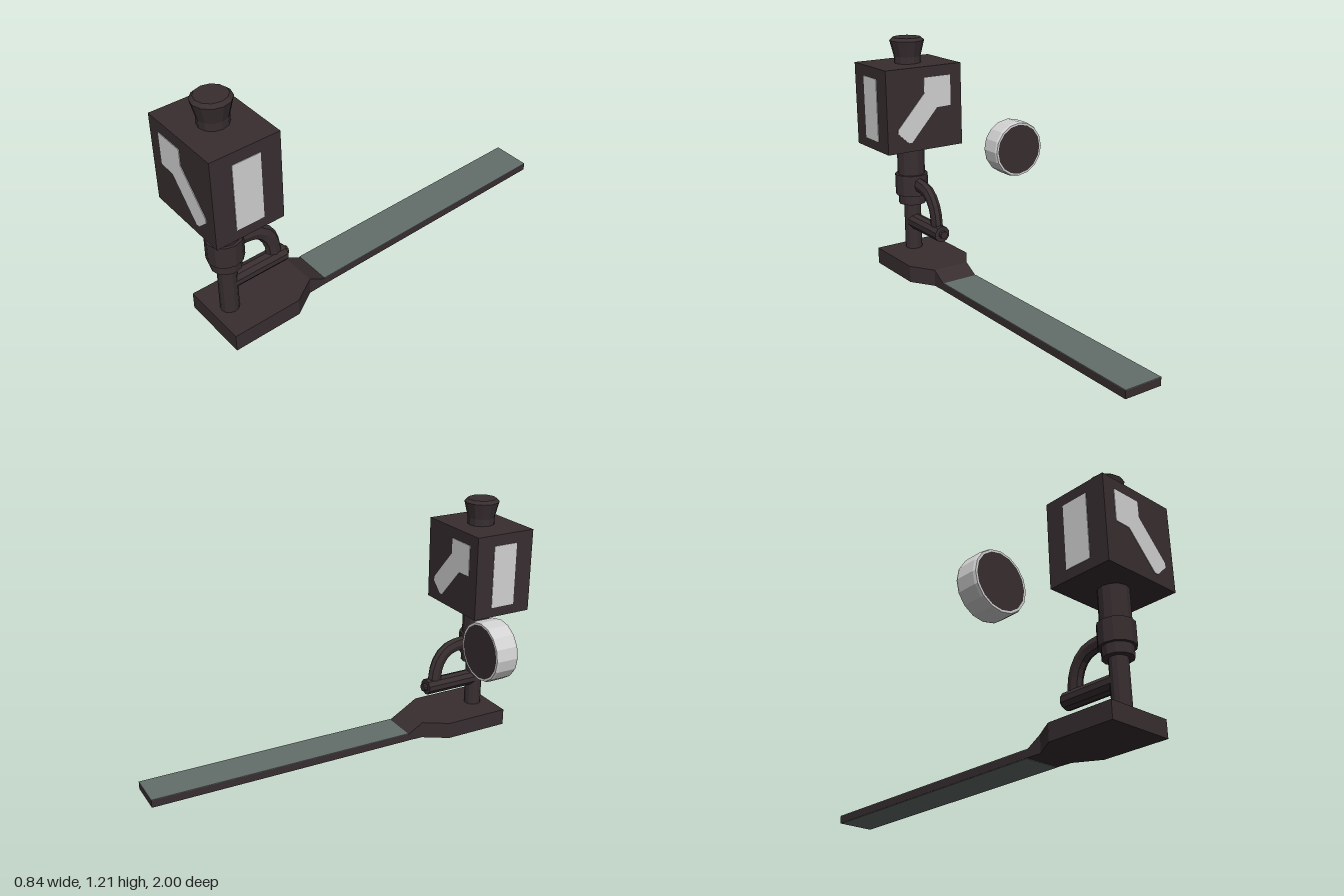
import * as THREE from 'three';

const dark = new THREE.MeshStandardMaterial({ color: 0x382e30 });
dark.name = 'darkIron';
const white = new THREE.MeshStandardMaterial({ color: 0xd2d2d2 });
white.name = 'paleGrey';
const slate = new THREE.MeshStandardMaterial({ color: 0x636d69 });
slate.name = 'slateGrey';

const CX = 0.2, CZ = 0.836; // axis of the post

export function createModel() {
  const model = new THREE.Group();
  model.name = 'switchStand';

  // Faceted mesh helper
  function add(name, geometry, material) {
    const flat = geometry.index ? geometry.toNonIndexed() : geometry;
    flat.computeVertexNormals();
    const mesh = new THREE.Mesh(flat, material);
    mesh.name = name;
    model.add(mesh);
    return mesh;
  }
  const box = (name, x0, x1, y0, y1, z0, z1, material) =>
    add(name, new THREE.BoxGeometry(x1 - x0, y1 - y0, z1 - z0)
      .translate((x0 + x1) / 2, (y0 + y1) / 2, (z0 + z1) / 2), material);
  const lathe = (points, sides) =>
    new THREE.LatheGeometry(points.map(p => new THREE.Vector2(...p)), sides);
  const shape = points => new THREE.Shape(points.map(p => new THREE.Vector2(...p)));
  const extrude = (points, depth) =>
    new THREE.ExtrudeGeometry(shape(points), { depth, bevelEnabled: false });

  // Foot plate, narrowing toward the tie bar
  add('footPlate', extrude([
    [0.03, 0.922], [0.03, 0.58], [0.105, 0.46], [0.295, 0.46], [0.37, 0.58], [0.37, 0.922],
  ], 0.085).rotateX(Math.PI / 2).translate(0, 0.085, 0), dark);

  // Long bar with a ramp at its front, and its slate faces
  add('longBar', extrude([
    [0.46, 0], [0.46, 0.085], [0.38, 0.039], [-1, 0.039], [-1, 0.002], [0.38, 0.002],
  ], 0.19).rotateY(-Math.PI / 2).translate(0.295, 0, 0), dark);
  box('barTop', 0.105, 0.295, 0.039, 0.042, -1, 0.375, slate);
  box('barUnderside', 0.107, 0.293, 0, 0.003, -0.995, 0.375, slate);

  // Stepped post with its collar
  add('post', lathe([
    [0, 0.08], [0.044, 0.08], [0.044, 0.335], [0.071, 0.335], [0.071, 0.385], [0.085, 0.385],
    [0.085, 0.495], [0.071, 0.495], [0.071, 0.66],
  ], 12).translate(CX, 0, CZ), dark);

  // Crank: horizontal shaft with end pin, and curved arm
  add('crankShaft', lathe([
    [0, 0], [0.042, 0], [0.042, 0.295], [0.02, 0.295], [0.02, 0.315], [0, 0.315],
  ], 10).rotateX(-Math.PI / 2).translate(CX, 0.235, 0.83), dark);
  const armPath = new THREE.CatmullRomCurve3([
    [0.79, 0.443], [0.72, 0.441], [0.655, 0.42], [0.612, 0.37], [0.592, 0.31], [0.588, 0.24],
  ].map(([z, y]) => new THREE.Vector3(0, y, z)));
  add('crankArm', new THREE.TubeGeometry(armPath, 8, 0.039, 8)
    .scale(0.7, 1, 1).translate(CX, 0, 0), dark);

  // Indicator housing and its flared cap
  box('housing', -0.015, 0.415, 0.655, 1.08, 0.672, 1, dark);
  add('cap', lathe([
    [0.068, 1.07], [0.068, 1.115], [0.088, 1.195], [0.072, 1.21], [0, 1.21],
  ], 12).translate(CX, 0, CZ), dark);

  // Pale indicator plates on all four sides
  const pointer = [
    [0.05, 0.868], [0.131, 0.866], [0.28, 0.702], [0.3, 0.702], [0.357, 0.755], [0.357, 0.777],
    [0.203, 0.946], [0.203, 1.02], [0.197, 1.025], [0.05, 1.025],
  ];
  add('frontPointer', extrude(pointer, 0.006).translate(0, 0, 0.997), white);
  add('backPointer', extrude(pointer, 0.006).translate(0, 0, 0.669), white);
  for (const [name, x] of [['leftPanel', 0.412], ['rightPanel', -0.018]]) {
    box(name, x, x + 0.006, 0.705, 1.025, 0.77, 0.903, white);
  }

  // Separate round target: pale bevelled rim with dark faces
  const place = g => g.rotateX(Math.PI / 2).translate(-0.275, 0.613, 0.582);
  add('targetRim', place(lathe([
    [0.132, -0.058], [0.142, -0.058], [0.147, -0.046], [0.147, 0.046], [0.142, 0.058], [0.132, 0.058],
  ], 16)), white);
  add('targetFaces', place(new THREE.CylinderGeometry(0.132, 0.132, 0.116, 16)), dark);

  return model;
}
